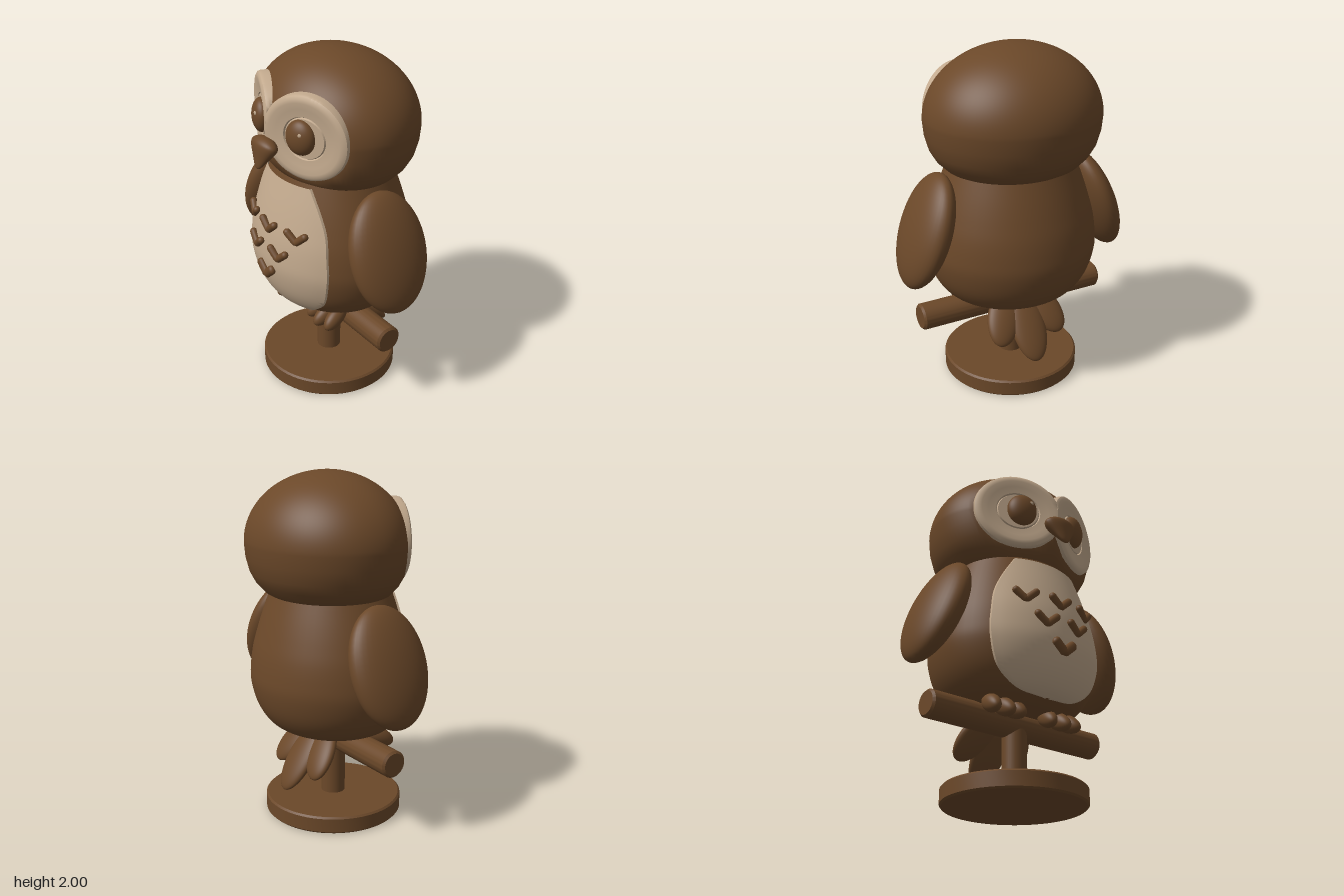
import * as THREE from 'three';
import { mergeVertices, toCreasedNormals } from 'three/addons/utils/BufferGeometryUtils.js';

const brown = new THREE.MeshStandardMaterial({ color: 0x6b4829 });
brown.name = 'brown';
const tan = new THREE.MeshStandardMaterial({ color: 0xc2a98d, side: THREE.DoubleSide });
tan.name = 'tan';

const spline = (pts, n) =>
  new THREE.SplineCurve(pts.map(([x, y]) => new THREE.Vector2(x, y))).getPoints(n);

// Move every vertex by a rule, then weld seams and smooth
function warp(geo, rule) {
  geo.deleteAttribute('uv');
  geo.deleteAttribute('normal');
  const p = geo.attributes.position, v = new THREE.Vector3();
  for (let i = 0; i < p.count; i++) {
    rule(v.fromBufferAttribute(p, i));
    p.setXYZ(i, v.x, v.y, v.z);
  }
  const out = mergeVertices(geo, 1e-5);
  out.computeVertexNormals();
  return out;
}

// Body outline as a fraction of its full width
const bodyProfile = spline([[0.001, 0.5], [0.45, 0.505], [0.62, 0.525], [0.77, 0.565], [0.88, 0.63], [0.955, 0.71],
  [1, 0.81], [0.995, 0.9], [0.965, 1.0], [0.91, 1.1], [0.845, 1.2], [0.765, 1.31], [0.72, 1.37]], 60);
const BODY_X = 0.5, BODY_FRONT = 0.41, BODY_BACK = 0.47;

function bodyRadius(y) {
  const i = Math.max(1, bodyProfile.findIndex((p) => p.y >= y));
  const a = bodyProfile[i - 1], b = bodyProfile[i];
  return a.x + (b.x - a.x) * (y - a.y) / (b.y - a.y);
}
function bellyZ(x, y) {
  const r = bodyRadius(y), s = x / (BODY_X * r);
  return BODY_FRONT * r * Math.sqrt(Math.max(0, 1 - s * s));
}

// Curved plate that follows the front of the body
function bellyGeometry() {
  const edge = spline([[0.01, 0.535], [0.16, 0.548], [0.26, 0.59], [0.34, 0.675], [0.38, 0.82], [0.372, 0.95],
    [0.345, 1.08], [0.29, 1.2], [0.21, 1.325]], 40);
  const cols = 24, n = cols + 3, pos = [], index = [];
  edge.forEach((e, row) => {
    for (let c = 0; c < n; c++) {
      const t = THREE.MathUtils.clamp((c - 1) / cols, 0, 1) * 2 - 1;
      const x = t * e.x, rim = c === 0 || c === n - 1;
      pos.push(x, e.y, bellyZ(x, e.y) + (rim ? -0.04 : 0.014));
      if (row && c) {
        const d = row * n + c, b = d - n;
        index.push(b - 1, b, d - 1, b, d, d - 1);
      }
    }
  });
  const geo = new THREE.BufferGeometry();
  geo.setAttribute('position', new THREE.Float32BufferAttribute(pos, 3));
  geo.setIndex(index);
  return toCreasedNormals(geo, 0.8);
}

export function createModel() {
  const model = new THREE.Group();
  const add = (name, geo, mat, pos = [0, 0, 0], rot = [0, 0, 0], scale = [1, 1, 1], parent = model) => {
    const m = new THREE.Mesh(geo, mat);
    m.name = name;
    m.position.set(...pos);
    m.rotation.set(...rot);
    m.scale.set(...scale);
    parent.add(m);
    return m;
  };
  const ball = new THREE.SphereGeometry(1, 40, 28);

  // Round stand with a softened rim, post and perch
  const disc = (r, h, b) => toCreasedNormals(new THREE.LatheGeometry([[0, 0], [r - b, 0], [r, b], [r, h - b],
    [r - b, h], [0, h]].map(([x, y]) => new THREE.Vector2(x, y)), 64), 0.6);
  add('base', disc(0.4, 0.1, 0.01), brown);
  add('post', new THREE.CylinderGeometry(0.07, 0.07, 0.4, 32), brown, [0, 0.28, 0]);
  add('perch', disc(0.077, 1.17, 0.012), brown, [0.585, 0.457, 0], [0, 0, Math.PI / 2]);

  // Body, deeper at the back than at the front
  add('body', warp(new THREE.LatheGeometry(bodyProfile, 64), (v) => {
    v.x *= BODY_X;
    v.z *= v.z > 0 ? BODY_FRONT : BODY_BACK;
  }), brown);
  add('belly', bellyGeometry(), tan);

  // Head with two flattened planes for the face
  const headProfile = [[0.001, 1.305], [0.4, 1.305], [0.68, 1.307], [0.77, 1.33], [0.87, 1.38], [0.94, 1.44], [0.985, 1.52]]
    .map(([x, y]) => new THREE.Vector2(x, y));
  for (let i = 0; i <= 28; i++) {
    const a = (i / 28) * Math.PI / 2;
    headProfile.push(new THREE.Vector2(Math.max(0.0005, Math.cos(a)), 1.6 + 0.4 * Math.sin(a)));
  }
  add('head', warp(new THREE.LatheGeometry(headProfile, 96), (v) => {
    v.x *= 0.51;
    v.z = v.z * (v.z > 0 ? 0.415 : 0.46) - 0.03;
    const plane = 0.375 - 0.44 * Math.abs(v.x);
    if (v.z > 0) v.z = Math.min(v.z, plane);
  }), brown);

  // Beak
  const beak = new THREE.LatheGeometry(spline([[0.001, -0.09], [0.022, -0.078], [0.055, -0.03], [0.09, 0.025],
    [0.09, 0.055], [0.055, 0.08], [0.001, 0.09]], 30), 32);
  add('beak', warp(beak, (v) => { v.z *= 0.58; }), brown, [0, 1.5, 0.428], [-0.38, 0, 0], [1.08, 1.02, 1]);

  // Face disc: raised rim, dished middle and a ring round the eye, cut at the centre line
  const faceProfile = [[0.235, -0.06], [0.235, -0.005], [0.23, 0.012], [0.215, 0.022], [0.195, 0.024], [0.16, 0.017],
    [0.118, 0.013], [0.113, 0.004], [0.108, 0.013], [0.001, 0.013]].map(([x, y]) => new THREE.Vector2(x, y));
  const tilt = new THREE.Matrix4().makeRotationY(0.415);

  for (const s of [1, -1]) {
    const side = s > 0 ? 'left' : 'right';

    const face = warp(new THREE.LatheGeometry(faceProfile, 72).rotateX(Math.PI / 2), (v) => {
      v.x *= 1.1;
      v.applyMatrix4(tilt);
      v.x = Math.max(0, v.x + 0.205) * s;
      v.y += 1.62;
      v.z += 0.288;
    });
    if (s < 0) { // mirrored faces need their corner order reversed
      const ix = face.index.array;
      for (let i = 0; i < ix.length; i += 3) [ix[i], ix[i + 1]] = [ix[i + 1], ix[i]];
      face.computeVertexNormals();
    }
    add(side + 'FaceDisc', toCreasedNormals(face, 0.7), tan);
    add(side + 'Eye', ball, brown, [s * 0.192, 1.625, 0.31], [0, s * 0.415, 0], [0.086, 0.097, 0.055]);
  }
  for (const x of [-0.165, 0.232]) {
    const z = x > 0 ? 0.343 : 0.366;
    add('eyeGlint', ball, tan, [x, 1.655, z], [0, x > 0 ? 0.7 : -0.1, 0], [0.012, 0.012, 0.005]);
  }

  for (const s of [1, -1]) {
    const side = s > 0 ? 'left' : 'right';
    // Wings
    add(side + 'Wing', ball, brown, [s * 0.535, 1.0, -0.012], [0, 0, s * 0.35], [0.11, 0.338, 0.243]);

    // Three toes gripping the perch
    const foot = new THREE.Group();
    foot.name = side + 'Foot';
    model.add(foot);
    for (const i of [-1, 0, 1]) {
      add('toe', ball, brown, [s * 0.193 + i * 0.073, 0.49 - (i ? 0 : 0.008), 0.14 + (i ? 0 : 0.015)],
        [0.5, i * 0.2, 0], [0.044, 0.05, 0.095], foot);
    }
    add(side + 'TailFeather', ball, brown, [s * 0.13, 0.42, -0.17], [0.65, 0, s * 0.42], [0.1, 0.175, 0.045]);
  }
  add('middleTailFeather', ball, brown, [0, 0.36, -0.225], [0.6, 0, 0], [0.108, 0.215, 0.045]);

  // Small V-shaped feathers in rows of three, two and one
  const arm = new THREE.CapsuleGeometry(0.021, 0.068, 6, 14);
  for (const [x, y, fat] of [[-0.21, 1.06, 1], [0, 1.06, 1], [0.21, 1.06, 1], [-0.107, 0.925, 1], [0.107, 0.925, 1], [0, 0.785, 1.3]]) {
    const chevron = new THREE.Group();
    chevron.name = 'bellyFeather';
    chevron.position.set(x, y, bellyZ(x, y) + 0.022);
    chevron.rotation.y = Math.atan2(bellyZ(x - 0.02, y) - bellyZ(x + 0.02, y), 0.04);
    for (const s of [1, -1]) {
      add('featherArm', arm, brown, [s * 0.031, -0.003, 0], [0, 0, -s * 0.85], [fat, 1, 1], chevron);
    }
    model.add(chevron);
  }

  return model;
}
